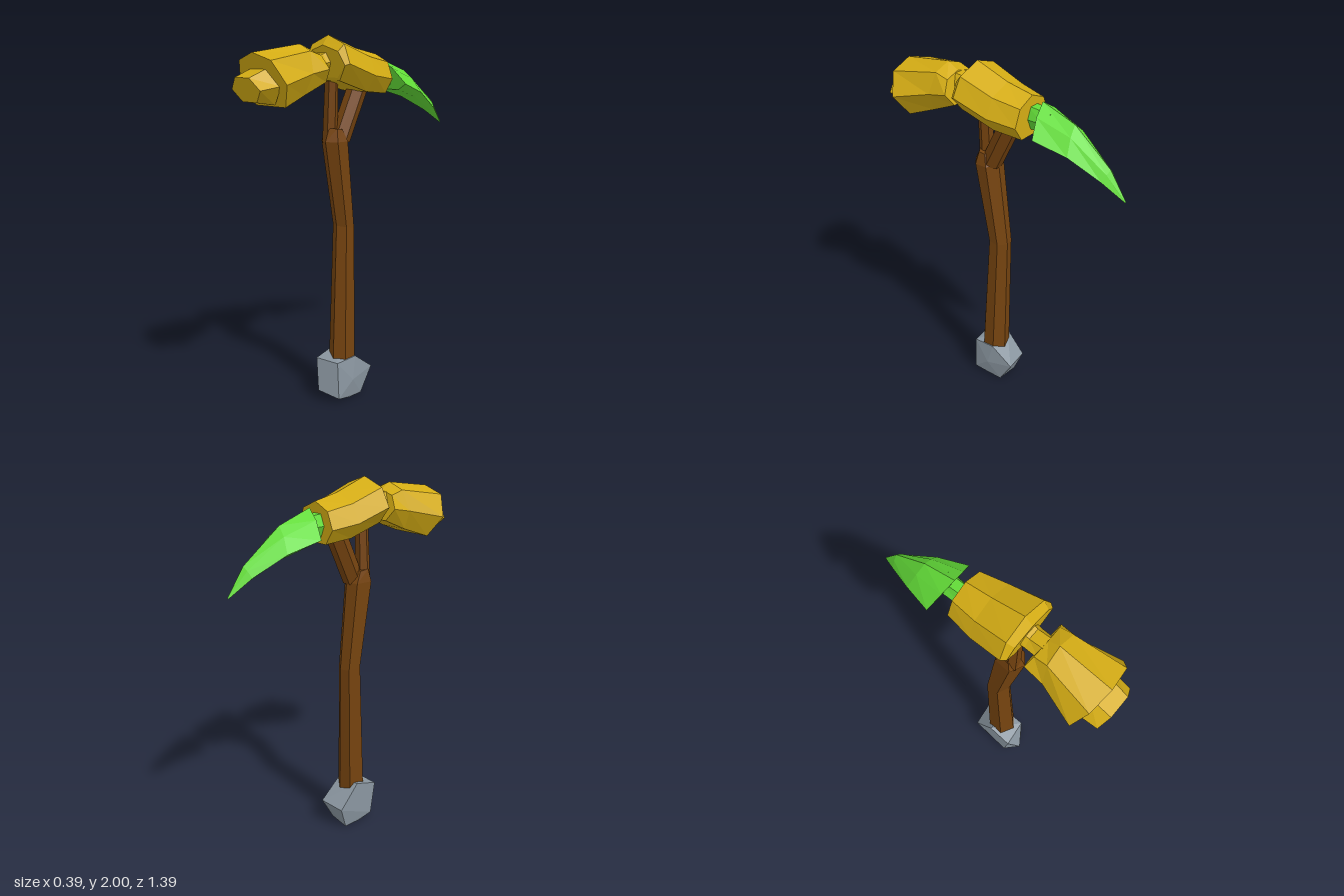
import * as THREE from 'three';
import { ConvexGeometry } from 'three/addons/geometries/ConvexGeometry.js';

const mat = (color) => new THREE.MeshStandardMaterial({ color, flatShading: true });

// Mirrors a half section (top point first, running down the +x side) across x = 0.
const mirror = (half) => [...half, ...half.filter(([u]) => u > 0).reverse().map(([u, v]) => [-u, v])];

// Lofts a section through rings [z1, y1, z2, y2, halfWidth, centreX]:
// v = 1 lies at (z1, y1), v = -1 at (z2, y2), u runs along x.
function loft(section, rings) {
  const pts = rings.map(([z1, y1, z2, y2, w, cx = 0]) => section.map(([u, v]) => [
    cx + u * w, (y1 + y2 + v * (y1 - y2)) / 2, (z1 + z2 + v * (z1 - z2)) / 2,
  ]));
  const n = section.length, pos = [];
  const tri = (a, b, c) => pos.push(...a, ...b, ...c);
  const centre = (ring) => [0, 1, 2].map((k) => ring.reduce((s, p) => s + p[k], 0) / n);
  const first = pts[0], last = pts[pts.length - 1];
  for (let i = 0; i < n; i++) {
    const j = (i + 1) % n;
    for (let r = 0; r + 1 < pts.length; r++) {
      tri(pts[r][i], pts[r][j], pts[r + 1][j]);
      tri(pts[r][i], pts[r + 1][j], pts[r + 1][i]);
    }
    tri(centre(first), first[j], first[i]);
    tri(centre(last), last[i], last[j]);
  }
  const g = new THREE.BufferGeometry();
  g.setAttribute('position', new THREE.Float32BufferAttribute(pos, 3));
  g.computeVertexNormals();
  return g;
}

export function createModel() {
  const model = new THREE.Group();
  const wood = mat(0x75430f), gold = mat(0xd4ac14), green = mat(0x63dd38), stone = mat(0x8a96a0);
  const add = (name, geometry, material) => {
    const mesh = new THREE.Mesh(geometry, material);
    mesh.name = name;
    model.add(mesh);
  };

  const shaft = [[0.2, 1], [1, 0.45], [1, -0.45], [0.1, -1], [-0.9, -0.75], [-1, 0.5]];
  const hex = mirror([[0.5, 1], [1, 0], [0.5, -1]]);
  const drum = mirror([[0, 1], [0.68, 0.72], [1, -0.15], [0.62, -1]]);
  const saddle = mirror([[0, 1], [0.72, 0.6], [1, -0.25], [0.6, -1]]);
  const blade = mirror([[0, 1], [0.5, 0.4], [1, -0.6], [0.55, -1]]);

  // Bent wooden handle, forking into two prongs under the head
  add('handle', loft(shaft, [
    [0.17, 0.1, 0.01, 0.1, 0.07, -0.01],
    [0.12, 1.0, 0.0, 0.98, 0.055, -0.025],
    [0.2, 1.46, 0.05, 1.46, 0.065, -0.017],
    [0.17, 1.53, 0.09, 1.52, 0.05, -0.02],
  ]), wood);
  add('frontProng', loft(hex, [
    [0.18, 1.45, 0.11, 1.45, 0.04, -0.035],
    [0.175, 1.82, 0.115, 1.82, 0.035, -0.015],
  ]), wood);
  add('backProng', loft(hex, [
    [0.15, 1.47, 0.05, 1.45, 0.05, -0.01],
    [0.02, 1.74, -0.08, 1.72, 0.05, -0.015],
  ]), wood);

  // Rough stone pommel, corners as x, y, z
  add('pommel', new ConvexGeometry([
    [-0.1, 0.23, 0.2], [0.06, 0.24, 0.18], [-0.03, 0.07, 0.245],
    [-0.1, 0.04, 0.17], [0.07, 0.03, 0.18], [-0.08, 0.005, 0.1], [0.05, 0.005, 0.08],
    [-0.08, 0.005, -0.01], [0.05, 0.01, 0.0], [-0.1, 0.14, -0.06], [0.05, 0.15, -0.08],
    [-0.1, 0.275, 0.06], [0.06, 0.25, 0.05], [0.075, 0.12, 0.08],
  ].map((p) => new THREE.Vector3(...p))), stone);

  // Hammer head at the front: small striking knob, flared drum and neck
  add('hammerKnob', loft(hex, [
    [0.7, 1.8, 0.66, 1.685, 0.12],
    [0.58, 1.85, 0.56, 1.67, 0.13],
  ]), gold);
  add('hammerDrum', loft(drum, [
    [0.64, 1.915, 0.54, 1.66, 0.195],
    [0.36, 1.955, 0.4, 1.71, 0.135],
    [0.3, 1.92, 0.26, 1.77, 0.13],
  ]), gold);
  add('hammerNeck', loft(hex, [
    [0.32, 1.915, 0.29, 1.8, 0.06, -0.01],
    [0.23, 1.905, 0.23, 1.82, 0.06, -0.01],
    [0.15, 1.94, 0.15, 1.8, 0.07, -0.01],
  ]), gold);

  // Central block over the handle
  add('centreBlock', loft(saddle, [
    [0.215, 1.95, 0.2, 1.79, 0.16],
    [0.175, 2.0, 0.19, 1.775, 0.178, -0.005],
    [-0.01, 1.935, 0.0, 1.715, 0.162, -0.005],
    [-0.155, 1.905, -0.155, 1.7, 0.132, -0.008],
  ]), gold);

  // Curved pick blade at the back
  add('bladeNeck', loft(hex, [
    [-0.12, 1.85, -0.12, 1.73, 0.05, -0.025],
    [-0.27, 1.84, -0.27, 1.74, 0.055, -0.025],
  ]), green);
  add('pickBlade', loft(blade, [
    [-0.205, 1.88, -0.265, 1.715, 0.15, -0.025],
    [-0.39, 1.815, -0.43, 1.665, 0.105, -0.025],
    [-0.6, 1.65, -0.58, 1.585, 0.05, -0.02],
    [-0.695, 1.512, -0.69, 1.508, 0.004, -0.02],
  ]), green);

  return model;
}
